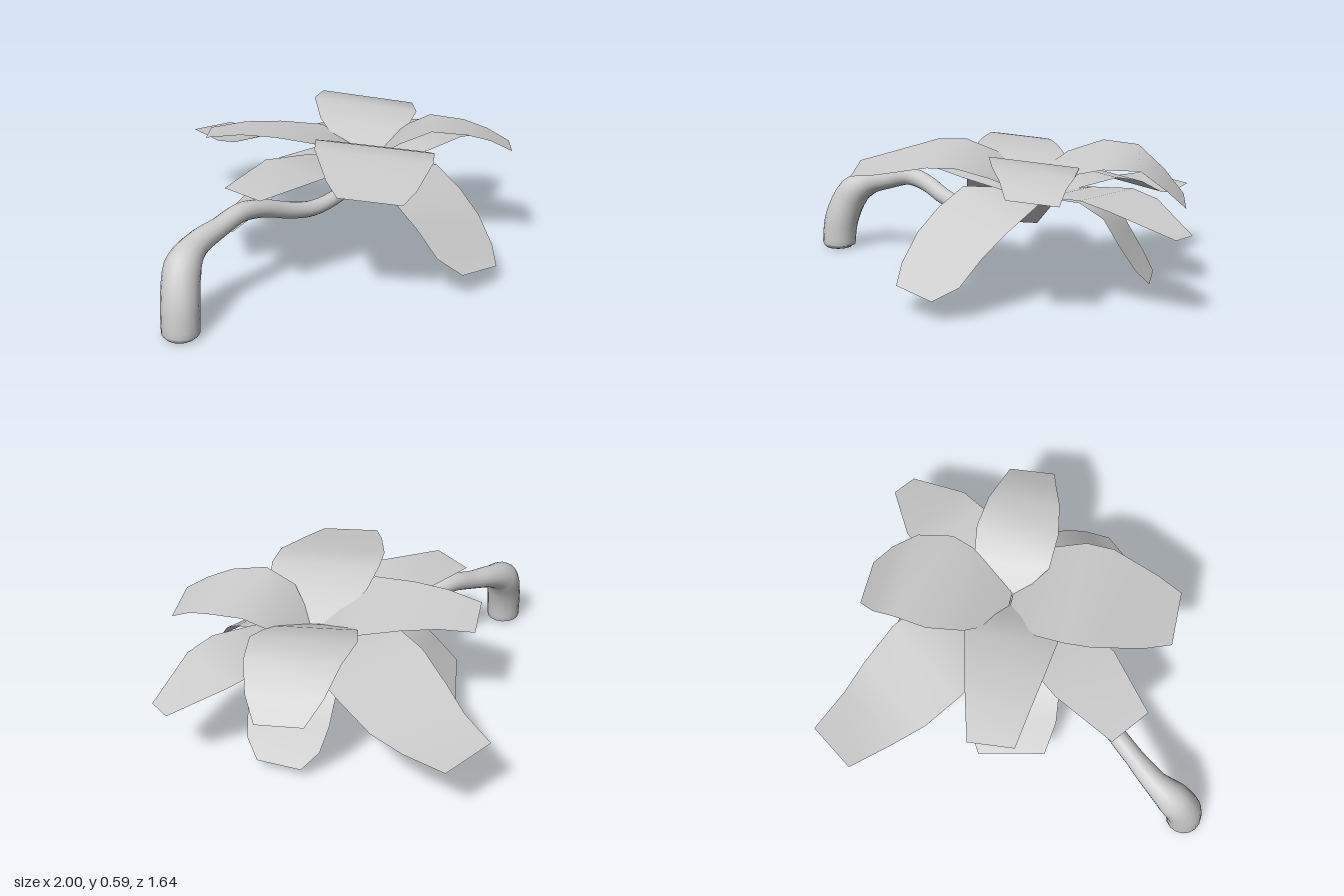
import * as THREE from 'three';

const grey = new THREE.MeshStandardMaterial({ color: 0xcccccc, side: THREE.DoubleSide });
grey.name = 'plain grey';

// One petal: a thin strip leaving (x, z) at an angle in degrees (0 = +x, 90 = +z).
// Each row is [distance, height, half width]; roll lifts one edge and lowers the other.
function petal(name, x, z, angle, rows, roll = 0) {
  const a = THREE.MathUtils.degToRad(angle);
  const c = Math.cos(a), s = Math.sin(a);
  const pos = [], index = [];
  rows.forEach(([r, y, w], i) => {
    for (const o of [-w, w]) pos.push(x + c * r - s * o, y + roll * o, z + s * r + c * o);
    if (i > 0) {
      const k = 2 * i;
      index.push(k - 2, k - 1, k, k - 1, k + 1, k);
    }
  });
  return finish(name, pos, index);
}

// Stem: round rings of varying radius swept along a smooth curve.
function stem(points, radii) {
  const curve = new THREE.CatmullRomCurve3(points.map((p) => new THREE.Vector3(...p)));
  const rings = 48, sides = 16, pos = [], index = [];
  const binormal = new THREE.Vector3(), normal = new THREE.Vector3(), across = new THREE.Vector3(0, 0, 1);
  for (let i = 0; i <= rings; i++) {
    const t = i / rings;
    const p = curve.getPoint(t), tangent = curve.getTangent(t);
    normal.crossVectors(across, tangent).normalize();
    binormal.crossVectors(tangent, normal);
    const f = t * (radii.length - 1), n = Math.min(Math.floor(f), radii.length - 2);
    const radius = THREE.MathUtils.lerp(radii[n], radii[n + 1], f - n);
    for (let j = 0; j < sides; j++) {
      const a = (j / sides) * Math.PI * 2;
      const q = p.clone().addScaledVector(normal, Math.cos(a) * radius).addScaledVector(binormal, Math.sin(a) * radius);
      pos.push(q.x, q.y, q.z);
      if (i > 0) {
        const b = i * sides, d = b - sides, m = (j + 1) % sides;
        index.push(d + j, d + m, b + j, d + m, b + m, b + j);
      }
    }
  }
  // Close both ends
  for (const [end, ring] of [[points[0], 0], [points[points.length - 1], rings * sides]]) {
    const centre = pos.length / 3;
    pos.push(...end);
    for (let j = 0; j < sides; j++) {
      const u = ring + j, v = ring + ((j + 1) % sides);
      if (ring === 0) index.push(centre, v, u);
      else index.push(centre, u, v);
    }
  }
  return finish('stem', pos, index);
}

function finish(name, pos, index) {
  const g = new THREE.BufferGeometry();
  g.setAttribute('position', new THREE.Float32BufferAttribute(pos, 3));
  g.setIndex(index);
  g.computeVertexNormals();
  const mesh = new THREE.Mesh(g, grey);
  mesh.name = name;
  return mesh;
}

export function createModel() {
  const model = new THREE.Group();
  model.name = 'flower';

  // Four upper petals, rising from the heart and curling over
  model.add(
    petal('upperPetalFrontRight', 0.24, 0.2, 141.5,
      [[0, 0.43, 0.09], [0.14, 0.525, 0.22], [0.27, 0.57, 0.245], [0.39, 0.572, 0.24], [0.6, 0.525, 0.177], [0.71, 0.505, 0.127]], 0.09),
    petal('upperPetalFrontLeft', 0.26, 0.18, 50.5,
      [[-0.01, 0.42, 0.05], [0.1, 0.515, 0.165], [0.23, 0.575, 0.178], [0.38, 0.56, 0.157], [0.48, 0.53, 0.125], [0.575, 0.48, 0.1]], 0.12),
    petal('upperPetalBackRight', 0.2, 0.2, 229,
      [[0, 0.42, 0.07], [0.1, 0.48, 0.16], [0.22, 0.535, 0.2], [0.4, 0.555, 0.165], [0.55, 0.557, 0.133], [0.7, 0.535, 0.1]], -0.12),
    petal('upperPetalBackLeft', 0.16, 0.17, -37.5,
      [[0.05, 0.44, 0.08], [0.2, 0.52, 0.19], [0.35, 0.56, 0.23], [0.5, 0.548, 0.205], [0.61, 0.455, 0.165], [0.69, 0.368, 0.105]], -0.11),
  );

  // Four middle petals, one to each side
  model.add(
    petal('middlePetalRight', 0.24, 0.18, 180,
      [[0, 0.4, 0.06], [0.25, 0.46, 0.15], [0.5, 0.5, 0.16], [0.79, 0.475, 0.1]]),
    petal('middlePetalLeft', 0.24, 0.18, 0,
      [[0, 0.4, 0.06], [0.2, 0.435, 0.15], [0.39, 0.45, 0.17], [0.52, 0.425, 0.16], [0.76, 0.33, 0.055]]),
    petal('middlePetalFront', 0.235, 0.2, 94.5,
      [[0, 0.405, 0.1], [0.17, 0.41, 0.2], [0.31, 0.34, 0.2], [0.43, 0.258, 0.19], [0.53, 0.155, 0.17], [0.613, 0.097, 0.105]], 0.11),
    petal('middlePetalBack', 0.243, 0.1, -92,
      [[0, 0.43, 0.12], [0.22, 0.475, 0.215], [0.39, 0.437, 0.225], [0.57, 0.36, 0.205], [0.72, 0.325, 0.165], [0.92, 0.327, 0.12]], -0.11),
  );

  // Two lower petals, drooping towards the back
  model.add(
    petal('lowerPetalBackRight', 0.27, 0.24, 221,
      [[0.05, 0.41, 0.08], [0.3, 0.43, 0.18], [0.46, 0.38, 0.2], [0.58, 0.25, 0.19], [0.69, 0.148, 0.145]], -0.08),
    petal('lowerPetalBackLeft', 0.156, 0.166, -31,
      [[0.05, 0.4, 0.07], [0.28, 0.395, 0.16], [0.38, 0.34, 0.19], [0.45, 0.22, 0.185], [0.51, 0.125, 0.165], [0.56, 0.055, 0.1]], -0.03),
  );

  // Bent stem, thick at the foot and thin under the petals
  model.add(stem(
    [[-0.922, 0.002, 0.215], [-0.922, 0.02, 0.215], [-0.91, 0.14, 0.205], [-0.86, 0.265, 0.17], [-0.77, 0.318, 0.145], [-0.64, 0.35, 0.14],
      [-0.52, 0.378, 0.14], [-0.4, 0.362, 0.15], [-0.27, 0.32, 0.17], [-0.15, 0.3, 0.19], [0, 0.32, 0.2], [0.14, 0.37, 0.2], [0.24, 0.41, 0.18]],
    [0.055, 0.076, 0.078, 0.075, 0.053, 0.042, 0.04, 0.037, 0.035, 0.033, 0.03, 0.025, 0.015],
  ));

  return model;
}
